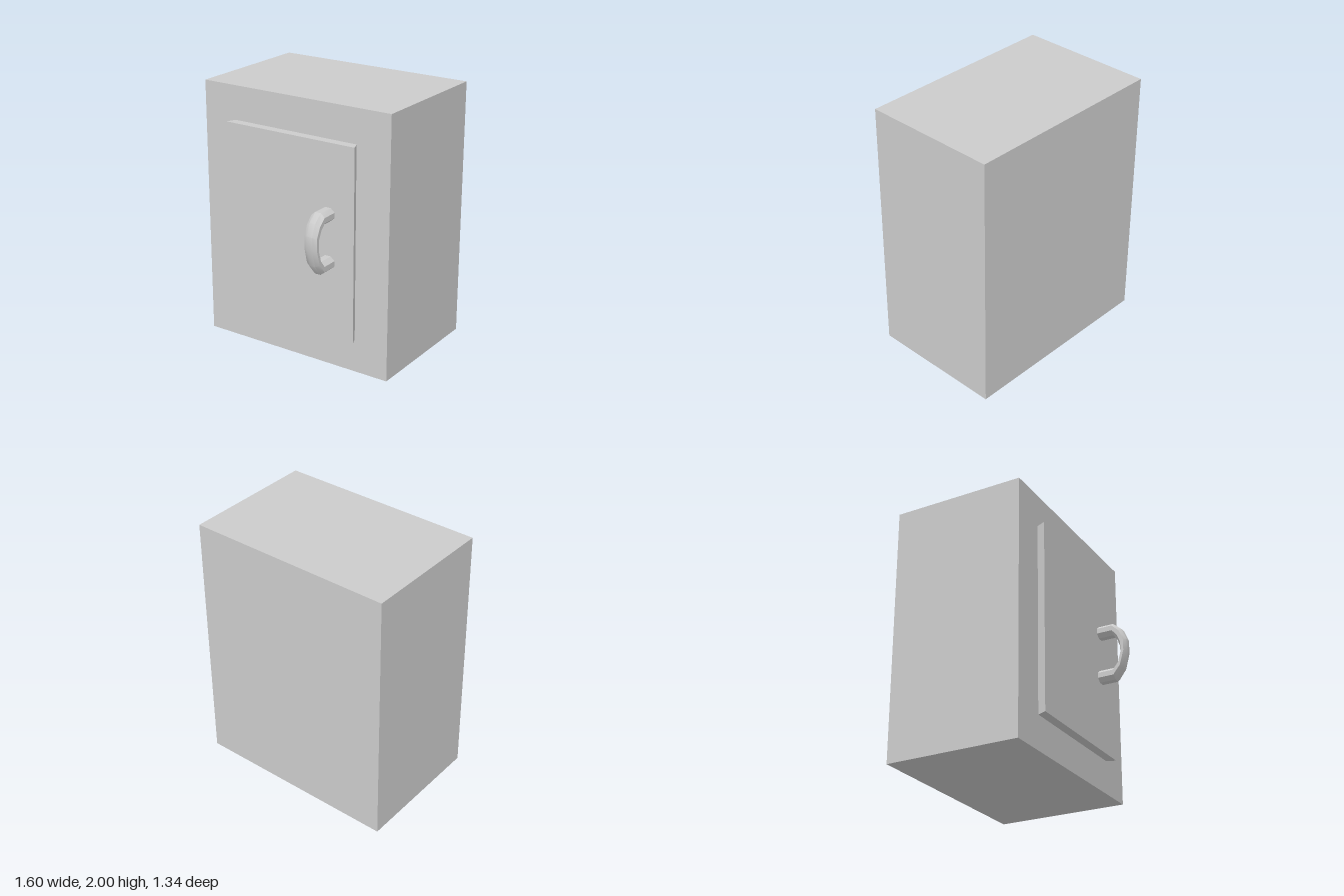
import * as THREE from 'three';
import { toCreasedNormals } from 'three/addons/utils/BufferGeometryUtils.js';

const material = new THREE.MeshStandardMaterial({ color: 0xcccccc });

function addPart(group, name, geometry, x, y, z) {
  const mesh = new THREE.Mesh(geometry, material);
  mesh.name = name;
  mesh.position.set(x, y, z);
  group.add(mesh);
}

// Door slab whose sides taper inwards towards the cabinet
function doorGeometry() {
  const geometry = new THREE.BoxGeometry(1.11, 1.48, 0.07);
  const p = geometry.attributes.position;
  for (let i = 0; i < p.count; i++) {
    if (p.getZ(i) < 0) p.setX(i, Math.sign(p.getX(i)) * 0.525);
  }
  geometry.computeVertexNormals();
  return geometry;
}

// Octagonal grip bent into a C, thinner at its middle.
// Each station: outer z, outer y, inner z, inner y, half width
function handleGeometry() {
  const stations = [
    [0.43, 1.263, 0.43, 1.167, 0.057],
    [0.562, 1.263, 0.562, 1.167, 0.057],
    [0.63, 1.204, 0.592, 1.125, 0.055],
    [0.668, 1.114, 0.612, 1.07, 0.053],
    [0.668, 1.015, 0.614, 1.01, 0.053],
    [0.63, 0.88, 0.598, 0.945, 0.055],
    [0.567, 0.8, 0.562, 0.897, 0.057],
    [0.43, 0.8, 0.43, 0.897, 0.057],
  ];
  const sides = 8;
  const stretch = 1 / Math.cos(Math.PI / sides);
  const positions = [];
  const indices = [];
  stations.forEach(([oz, oy, iz, iy, half], s) => {
    for (let j = 0; j < sides; j++) {
      const a = ((j + 0.5) / sides) * Math.PI * 2;
      const c = Math.cos(a) * stretch * 0.5;
      positions.push(
        -Math.sin(a) * stretch * half,
        (oy + iy) / 2 + (oy - iy) * c,
        (oz + iz) / 2 + (oz - iz) * c
      );
      if (s === 0) continue;
      const k = (j + 1) % sides;
      const a0 = (s - 1) * sides;
      const b0 = s * sides;
      indices.push(a0 + j, a0 + k, b0 + j, a0 + k, b0 + k, b0 + j);
    }
  });
  const geometry = new THREE.BufferGeometry();
  geometry.setAttribute('position', new THREE.Float32BufferAttribute(positions, 3));
  geometry.setIndex(indices);
  return toCreasedNormals(geometry, 0.6);
}

export function createModel() {
  const group = new THREE.Group();
  group.name = 'cabinet';
  addPart(group, 'cabinetBody', new THREE.BoxGeometry(1.6, 2, 1.04), 0, 1, -0.15);
  addPart(group, 'door', doorGeometry(), 0, 1, 0.405);
  addPart(group, 'doorHandle', handleGeometry(), 0.337, 0, 0);
  return group;
}
